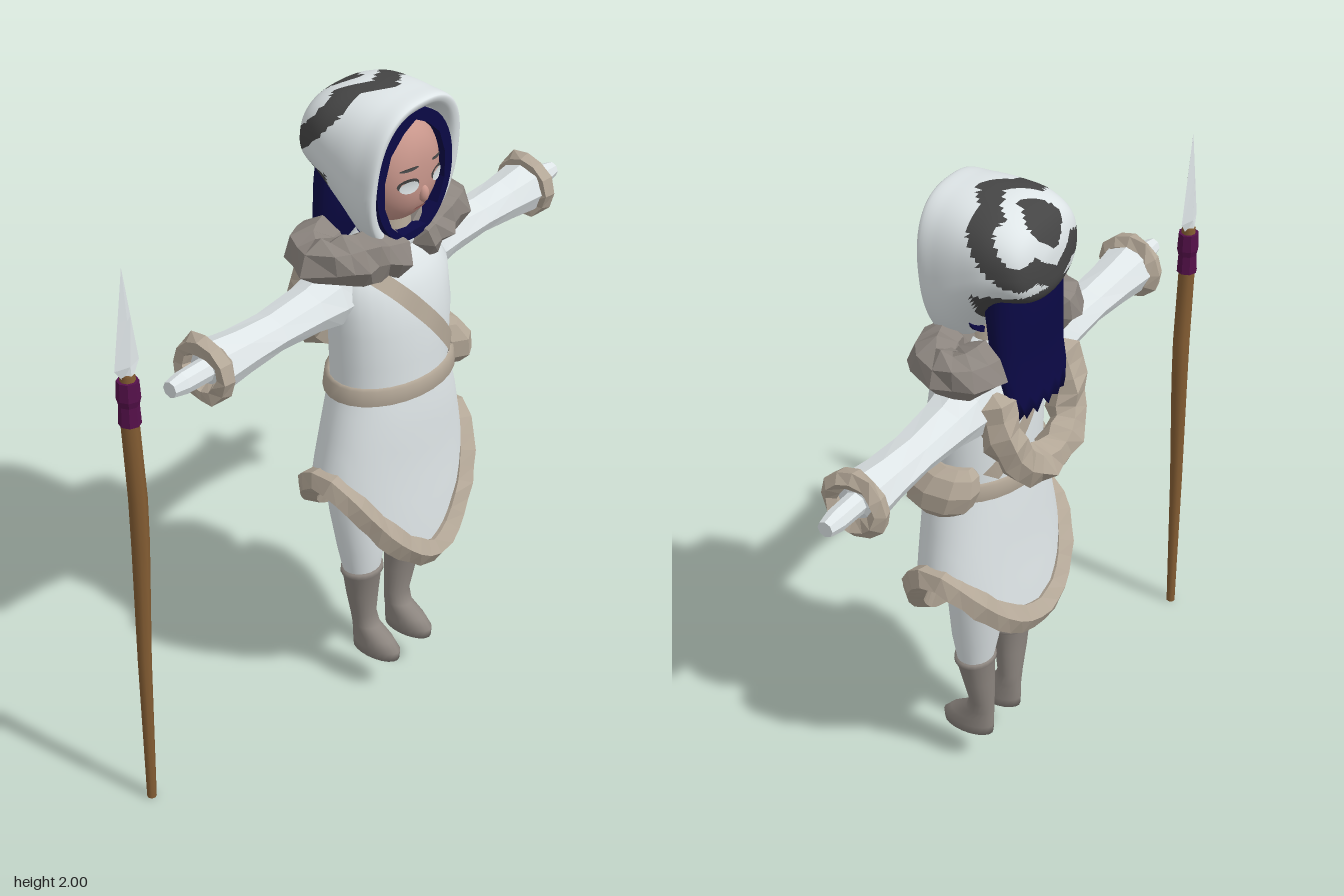
import * as THREE from 'three';

const CX = 0.055; // the figure stands slightly left of the origin, the spear balances it
const mat = (name, color) => {
  const m = new THREE.MeshStandardMaterial({ color, side: THREE.DoubleSide });
  m.name = name;
  return m;
};
const V = (x, y, z) => new THREE.Vector3(x, y, z);
const hash = (i, j) => { const s = Math.sin(i * 12.99 + j * 78.23) * 43758.55; return s - Math.floor(s); };
const flatten = g => { const f = g.toNonIndexed(); f.computeVertexNormals(); return f; };

// Skin over a list of closed rings, always wound outwards
function loft(rings, flat = false) {
  const n = rings[0].length, pts = rings.flat(), idx = [];
  for (let i = 0; i < rings.length - 1; i++) for (let j = 0; j < n; j++) {
    const a = i * n + j, b = i * n + (j + 1) % n;
    idx.push(a, b, b + n, a, b + n, a + n);
  }
  const mid = pts.reduce((s, p) => s.add(p), V(0, 0, 0)).divideScalar(pts.length);
  let vol = 0;
  for (let k = 0; k < idx.length; k += 3) {
    const [a, b, c] = [0, 1, 2].map(q => pts[idx[k + q]].clone().sub(mid));
    vol += a.dot(b.cross(c));
  }
  if (vol < 0) idx.reverse();
  const g = new THREE.BufferGeometry().setFromPoints(pts);
  g.setIndex(idx);
  g.computeVertexNormals();
  return flat ? flatten(g) : g;
}
const around = (n, fn) => Array.from({ length: n }, (_, j) => fn(j / n * Math.PI * 2));
// Horizontal ring: [y, centre x, half width, back z, front z]
const ringY = ([y, x, w, zb, zf], n = 20) => around(n, a =>
  V(x + w * Math.sin(a), y, (zb + zf) / 2 + (zf - zb) / 2 * Math.cos(a)));
// Ring facing along x
const ringX = (x, y, z, ry, rz, n = 8) => around(n, a => V(x, y + ry * Math.sin(a), z + rz * Math.cos(a)));

// Lumpy low-poly fur roll along a path
function furRoll(points, radius, { closed = false, segs = 16, sides = 6, rough = 0.35, sy = 1 } = {}) {
  const curve = new THREE.CatmullRomCurve3(points, closed);
  const g = new THREE.TubeGeometry(curve, segs, radius, sides, closed), p = g.attributes.position;
  for (let i = 0; i <= segs; i++) for (let j = 0; j <= sides; j++) {
    const k = i * (sides + 1) + j, c = curve.getPointAt(i / segs), v = V(0, 0, 0).fromBufferAttribute(p, k);
    const end = !closed && (i === 0 || i === segs) ? 0.02 : 1;
    const f = end * (1 - rough / 2 + rough * hash(closed ? i % segs : i, j % sides));
    v.sub(c).multiplyScalar(f); v.y *= sy; v.add(c);
    p.setXYZ(k, v.x, v.y, v.z);
  }
  return flatten(g);
}

// Tunic size by height: [y, half width, back z, front z]
const TUNIC = [[0.45, 0.31, -0.15, 0.215], [0.65, 0.305, -0.14, 0.21], [0.85, 0.28, -0.12, 0.2], [1.0, 0.242, -0.11, 0.2],
  [1.12, 0.205, -0.1, 0.19], [1.3, 0.215, -0.1, 0.19], [1.42, 0.215, -0.095, 0.17], [1.5, 0.18, -0.08, 0.13], [1.56, 0.08, -0.05, 0.08]];
function tunicAt(y) {
  let i = 0;
  while (i < TUNIC.length - 2 && y > TUNIC[i + 1][0]) i++;
  const t = (y - TUNIC[i][0]) / (TUNIC[i + 1][0] - TUNIC[i][0]);
  return TUNIC[i].map((v, k) => THREE.MathUtils.lerp(v, TUNIC[i + 1][k], t));
}
function tunicPoint(a, y, out = 0) {
  const [, w, zb, zf] = tunicAt(y);
  return V(CX + (w + out) * Math.sin(a), y, (zb + zf) / 2 + ((zf - zb) / 2 + out) * Math.cos(a));
}
const hemY = a => Math.cos(a) > 0 ? 0.53 + 0.31 * Math.abs(Math.sin(a)) ** 1.6 : 0.62 + 0.22 * Math.sin(a) ** 2;

// Face surface
const faceZ = (x, y) => {
  const r = ((x - CX) / 0.142) ** 2 + ((y - 1.77) / 0.175) ** 2;
  return 0.025 + 0.143 * Math.sqrt(Math.max(0, 1 - Math.min(1, r) ** 1.4));
};
function facePlate(x, y, w, h, lift, tilt = 0) {
  const shape = new THREE.Shape();
  shape.absellipse(0, 0, w, h, 0, Math.PI * 2, false, tilt);
  const g = new THREE.ShapeGeometry(shape, 8), p = g.attributes.position;
  for (let i = 0; i < p.count; i++) {
    const px = p.getX(i) + x, py = p.getY(i) + y;
    p.setXYZ(i, px, py, faceZ(px, py) + lift);
  }
  g.computeVertexNormals();
  return g;
}

export function createModel() {
  const root = new THREE.Group();
  const white = mat('white cloth', 0xdfe6e8), beige = mat('beige fur', 0xb3a797), grey = mat('grey fur', 0x8c857f),
    navy = mat('navy hair', 0x0b0945), skin = mat('skin', 0xc9978c), dark = mat('charcoal stripe', 0x454545),
    purple = mat('purple wrap', 0x55104a), wood = mat('wood', 0x845d33), lip = mat('lip', 0xa66a64);
  const add = (name, g, m) => {
    const mesh = new THREE.Mesh(g, m);
    mesh.name = name;
    root.add(mesh);
    return mesh;
  };

  // Tunic: chest, then a skirt running down to the curved hem
  const chestRows = [1.12, 1.2, 1.3, 1.36, 1.42, 1.46, 1.5, 1.53, 1.56];
  add('chest', loft(chestRows.map(y => around(28, a => tunicPoint(a, y)))), white);
  add('skirt', loft([0, 0.12, 0.25, 0.4, 0.55, 0.7, 0.85, 1].map(t =>
    around(48, a => tunicPoint(a, THREE.MathUtils.lerp(1.12, hemY(a), t))))), white);
  add('hemFur', furRoll(around(32, a => tunicPoint(a, hemY(a))), 0.043,
    { closed: true, segs: 40, sides: 5, rough: 0.2 }), beige);
  add('neck', new THREE.CylinderGeometry(0.06, 0.075, 0.14, 12).translate(CX, 1.56, 0.04), beige);

  // Belt, cross strap and pouch
  const belt = [[1.085, 0.004], [1.09, 0.016], [1.135, 0.016], [1.14, 0.004]];
  add('belt', loft(belt.map(([y, o]) => around(28, a => tunicPoint(a, y, o)))), beige);
  for (const side of [1, -1]) {
    const edges = [-1, 1].map(e => Array.from({ length: 15 }, (_, i) => {
      const t = i / 14, x = THREE.MathUtils.lerp(-0.085, 0.195, t) + e * 0.02, y = THREE.MathUtils.lerp(1.49, 1.16, t) + e * 0.015;
      const [, w] = tunicAt(y), s = THREE.MathUtils.clamp((x - CX) / w, -0.99, 0.99);
      const a = Math.asin(s);
      return tunicPoint(side > 0 ? a : Math.PI - a, y, 0.008);
    }));
    const idx = [];
    for (let i = 0; i < 14; i++) idx.push(i, 15 + i, i + 1, i + 1, 15 + i, 16 + i);
    if (side > 0) idx.reverse();
    // keep the winding facing away from the body
    const g = new THREE.BufferGeometry().setFromPoints(edges.flat());
    g.setIndex(idx);
    g.computeVertexNormals();
    if (g.attributes.normal.getZ(7) * side < 0) { g.setIndex(idx.reverse()); g.computeVertexNormals(); }
    add(side > 0 ? 'frontStrap' : 'backStrap', g, beige);
  }
  add('pouch', loft([[1.05, 0.28, 0, 0.05, 0.06], [1.05, 0.28, 0.04, 0.0, 0.13], [1.085, 0.28, 0.068, -0.05, 0.165],
    [1.14, 0.275, 0.07, -0.07, 0.165], [1.185, 0.26, 0.055, -0.06, 0.13], [1.2, 0.245, 0.03, -0.03, 0.08],
    [1.2, 0.245, 0, 0.02, 0.03]].map(r => ringY(r, 9)), true), beige);

  for (const s of [1, -1]) {
    const side = s > 0 ? 'left' : 'right', X = d => CX + s * d;
    // Sleeve, cuff and hand
    const sleeve = [[0.1, 1.42, 0.1, 0.1], [0.17, 1.415, 0.105, 0.1], [0.22, 1.405, 0.085, 0.09], [0.3, 1.403, 0.066, 0.08],
      [0.45, 1.4, 0.054, 0.07], [0.58, 1.398, 0.064, 0.073], [0.7, 1.4, 0.078, 0.085], [0.71, 1.4, 0.02, 0.02]];
    add(side + 'Sleeve', loft(sleeve.map(([d, y, ry, rz]) => ringX(X(d), y, -0.01, ry, rz)), true), white);
    add(side + 'Cuff', furRoll(ringX(X(0.71), 1.4, -0.01, 0.075, 0.08, 10), 0.03,
      { closed: true, segs: 12, sides: 5, rough: 0.5 }), beige);
    add(side + 'Hand', loft([[0.68, 0.035], [0.8, 0.033], [0.845, 0.024], [0.845, 0]].map(([d, r]) =>
      ringX(X(d), 1.4, -0.01, r, r)), true), white);
    // Legs and boots
    add(side + 'Leg', loft([[0.95, X(0.1), 0.095, -0.09, 0.1], [0.8, X(0.105), 0.098, -0.095, 0.1], [0.65, X(0.105), 0.09, -0.07, 0.095],
      [0.52, X(0.1), 0.076, -0.05, 0.09], [0.43, X(0.098), 0.062, -0.03, 0.075]].map(r => ringY(r))), white);
    add(side + 'Boot', loft([[0.12, X(0.077), 0, 0.05, 0.05], [0.12, X(0.077), 0.043, -0.022, 0.148], [0.15, X(0.077), 0.044, -0.024, 0.152],
      [0.178, X(0.077), 0.042, -0.024, 0.125], [0.21, X(0.077), 0.039, -0.024, 0.068], [0.25, X(0.08), 0.041, -0.025, 0.052],
      [0.34, X(0.09), 0.054, -0.03, 0.065], [0.42, X(0.098), 0.064, -0.032, 0.078], [0.425, X(0.098), 0.071, -0.038, 0.085],
      [0.44, X(0.098), 0.07, -0.037, 0.084], [0.442, X(0.098), 0.055, -0.02, 0.07]].map(r => ringY(r))), grey);
    // Shoulder fur
    add(side + 'ShoulderFur', furRoll([V(X(0.13), 1.55, -0.07), V(X(0.23), 1.55, -0.04), V(X(0.262), 1.55, 0.03),
      V(X(0.17), 1.555, 0.085), V(X(0.02), 1.52, 0.1)], 0.073, { segs: 13, sides: 7, rough: 0.4, sy: 0.95 }), grey);
    // Face details
    add(side + 'Lash', facePlate(X(0.06), 1.756, 0.034, 0.02, 0.003), dark);
    add(side + 'Eye', facePlate(X(0.06), 1.75, 0.03, 0.019, 0.006), white);
    add(side + 'Brow', facePlate(X(0.058), 1.803, 0.03, 0.005, 0.004, -s * 0.08), dark);
  }

  // Fur drape hanging in a loop on the back
  add('backFur', furRoll([[-0.16, 1.47, -0.07], [-0.17, 1.36, -0.11], [-0.13, 1.24, -0.15], [0, 1.18, -0.17],
    [0.13, 1.24, -0.15], [0.17, 1.36, -0.11], [0.16, 1.47, -0.07]].map(([x, y, z]) => V(CX + x, y, z)), 0.058,
  { segs: 18, sides: 6, rough: 0.45 }), beige);

  // Head
  const head = new THREE.SphereGeometry(1, 32, 24).scale(0.142, 0.175, 0.14).translate(CX, 1.77, 0.025);
  const hp = head.attributes.position;
  for (let i = 0; i < hp.count; i++) if (hp.getZ(i) > 0.026) hp.setZ(i, faceZ(hp.getX(i), hp.getY(i)));
  head.computeVertexNormals();
  add('head', head, skin);
  add('nose', new THREE.SphereGeometry(1, 10, 8).scale(0.016, 0.026, 0.016).translate(CX, 1.71, 0.165), skin);
  add('mouth', facePlate(CX, 1.665, 0.026, 0.006, 0.004), lip);

  // Hair framing the face, and the long fall behind
  const frame = new THREE.Shape().absellipse(CX, 1.755, 0.163, 0.195, 0, Math.PI * 2);
  const opening = new THREE.Path([[0, 1.925], [0.05, 1.9], [0.105, 1.85], [0.13, 1.78], [0.13, 1.7], [0.1, 1.63], [0.05, 1.585],
    [-0.05, 1.585], [-0.1, 1.63], [-0.13, 1.7], [-0.13, 1.78], [-0.105, 1.85], [-0.05, 1.9]].map(([x, y]) => new THREE.Vector2(CX + x, y)));
  frame.holes.push(opening);
  add('hairFrame', new THREE.ExtrudeGeometry(frame, { depth: 0.125, bevelEnabled: false, curveSegments: 20 }).translate(0, 0, 0.01), navy);
  const fall = [[1.8, 0.14, -0.16, 0], [1.7, 0.155, -0.165, 0], [1.6, 0.158, -0.16, -0.02], [1.5, 0.15, -0.155, -0.06],
    [1.42, 0.14, -0.165, -0.09], [1.38, 0.125, -0.165, -0.11], [1.385, 0, -0.14, -0.13]];
  add('longHair', loft(fall.map(([y, w, zb, zf], i) => {
    const r = ringY([y, CX, w, zb, zf], 28);
    if (i > 3 && i < 6) r.forEach((p, j) => { p.y += (j % 2 ? 0.02 : -0.015); });
    return r;
  })), navy);

  // Hood: rings from the inner rim to the back, [half width, bottom, top, bottom z, top z]
  const hoodRings = [[0.147, 1.575, 1.945, 0.085, 0.12], [0.165, 1.545, 1.97, 0.11, 0.158], [0.188, 1.52, 1.99, 0.105, 0.163],
    [0.197, 1.53, 1.998, 0.06, 0.1], [0.198, 1.6, 2.0, 0, 0.02], [0.188, 1.69, 1.99, -0.09, -0.07],
    [0.155, 1.725, 1.955, -0.16, -0.145], [0.085, 1.76, 1.89, -0.182, -0.178], [0.001, 1.82, 1.822, -0.186, -0.186]];
  const N = 80;
  const meridians = around(N, a => new THREE.CatmullRomCurve3(hoodRings.map(([w, b, t, zb, zt]) => {
    const s = Math.sin(a), c = Math.cos(a), k = s > 0 ? 0.78 : 1;
    const h = Math.sign(s) * Math.abs(s) ** k;
    return V(CX + w * Math.sign(c) * Math.abs(c) ** k, (b + t) / 2 + (t - b) / 2 * h, THREE.MathUtils.lerp(zb, zt, (h + 1) / 2));
  })).getPoints(48));
  const hood = loft(Array.from({ length: 49 }, (_, i) => meridians.map(m => m[i])));
  // Zigzag stripes sweeping over the crown and down to the nape
  const striped = c => {
    const f = c.z + 2 - c.y - 0.05 * Math.abs(1 - Math.abs(c.x - CX) / 0.09);
    return c.z < 0.1 && ((f > -0.06 && f < 0.012) || (f > -0.155 && f < -0.105) || (c.y < 1.775 && c.z < -0.03));
  };
  const plain = [], stripes = [], ix = hood.index.array, pos = hood.attributes.position;
  for (let k = 0; k < ix.length; k += 3) {
    const c = V(0, 0, 0), tri = [ix[k], ix[k + 1], ix[k + 2]];
    tri.forEach(q => c.add(V(pos.getX(q), pos.getY(q), pos.getZ(q)).divideScalar(3)));
    (striped(c) ? stripes : plain).push(...tri);
  }
  hood.setIndex(plain.concat(stripes));
  hood.addGroup(0, plain.length, 0);
  hood.addGroup(plain.length, stripes.length, 1);
  add('hood', hood, [white, dark]);

  // Spear: crooked shaft, wrapped grip, faceted blade
  const shaft = [[0, -0.865, 0], [0, -0.865, 0.014], [0.5, -0.862, 0.02], [0.9, -0.852, 0.026], [1.05, -0.852, 0.027],
    [1.3, -0.865, 0.026], [1.45, -0.865, 0.022], [1.46, -0.865, 0]];
  add('spearShaft', loft(shaft.map(([y, x, r]) => ringY([y, x, r, -0.09 - r, -0.09 + r], 8))), wood);
  add('spearWrap', loft([[1.3, 0.02], [1.3, 0.032], [1.36, 0.029], [1.38, 0.034], [1.435, 0.031], [1.435, 0.02]].map(([y, r]) =>
    ringY([y, -0.865, r, -0.09 - r, -0.09 + r], 8)), true), purple);
  add('spearBlade', loft([[1.44, 0.018, 0.018], [1.48, 0.046, 0.014], [1.62, 0.024, 0.012], [1.775, 0, 0]].map(([y, w, d]) =>
    ringY([y, -0.865, w, -0.09 - d, -0.09 + d], 4)), true), white);

  return root;
}
